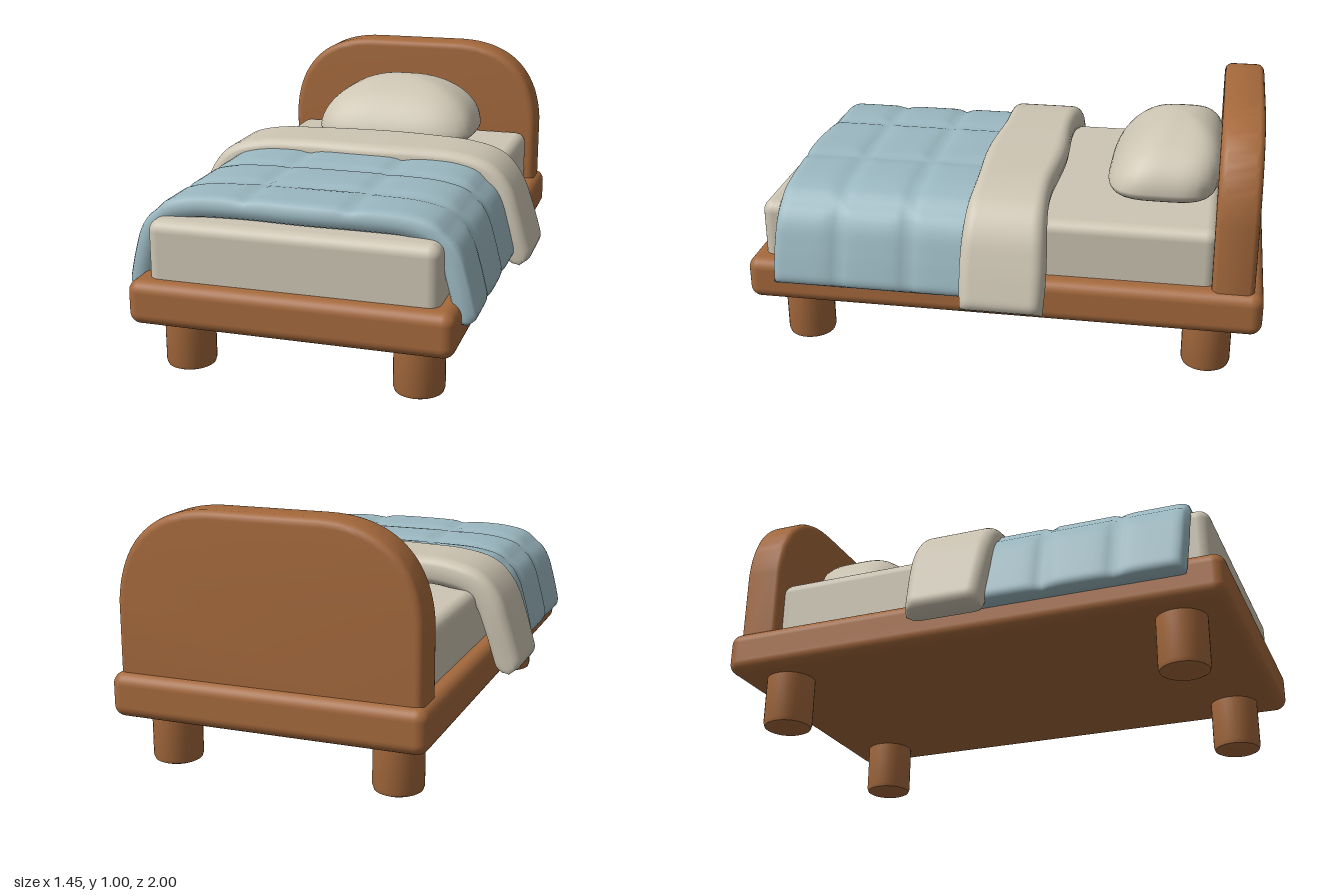
import * as THREE from 'three';
import { mergeVertices, toCreasedNormals } from 'three/addons/utils/BufferGeometryUtils.js';
import { RoundedBoxGeometry } from 'three/addons/geometries/RoundedBoxGeometry.js';

const wood = new THREE.MeshStandardMaterial({ name: 'wood', color: 0xa5693c });
const linen = new THREE.MeshStandardMaterial({ name: 'linen', color: 0xcdc5b3 });
const quiltBlue = new THREE.MeshStandardMaterial({ name: 'quilt blue', color: 0x9bb8c1 });

function add(group, name, geometry, material, x = 0, y = 0, z = 0) {
  const mesh = new THREE.Mesh(geometry, material);
  mesh.name = name;
  mesh.position.set(x, y, z);
  group.add(mesh);
}

// Padded cloth: a centre line in x/y (right half, mirrored) swept along z,
// thick in the middle and rounded off at every edge.
function drape(half, z0, z1, thickness, edgePower, puff) {
  const points = [
    ...half.slice(1).reverse().map(([x, y]) => new THREE.Vector3(-x, y, 0)),
    ...half.map(([x, y]) => new THREE.Vector3(x, y, 0)),
  ];
  const curve = new THREE.CatmullRomCurve3(points, false, 'centripetal');
  const length = curve.getLength();
  const nu = 90, nv = 44, row = nv + 1;
  const position = [], index = [];
  const edge = (d, r) => {
    const k = THREE.MathUtils.clamp(1 - d / r, 0, 1);
    return Math.pow(1 - Math.pow(k, edgePower), 1 / edgePower);
  };
  // samples crowd together towards both ends
  const spread = (t) => THREE.MathUtils.clamp(0.5 * t + 0.25 * (1 - Math.cos(Math.PI * t)), 0, 1);
  for (const side of [1, -1]) {
    const base = position.length / 3;
    for (let i = 0; i <= nu; i++) {
      const u = spread(i / nu);
      const p = curve.getPointAt(u), t = curve.getTangentAt(u);
      const s = (u - 0.5) * length;
      for (let j = 0; j <= nv; j++) {
        const v = spread(j / nv);
        const wave = 0.008 * Math.sin(s * 9 + 1) * (v - 0.5) * 2;
        const z = z0 + (z1 - z0) * v + wave;
        const round = edge(Math.min(u, 1 - u) * length, 0.05) * edge(Math.min(v, 1 - v) * (z1 - z0), 0.05);
        const h = side * (thickness / 2) * round - (side > 0 ? puff(s, z) * round : 0);
        position.push(p.x - t.y * h, p.y + t.x * h, z);
      }
    }
    for (let i = 0; i < nu; i++) {
      for (let j = 0; j < nv; j++) {
        const a = base + i * row + j, b = a + 1, c = a + row, d = c + 1;
        if (side > 0) index.push(a, b, c, b, d, c);
        else index.push(a, c, b, b, c, d);
      }
    }
  }
  let g = new THREE.BufferGeometry();
  g.setAttribute('position', new THREE.Float32BufferAttribute(position, 3));
  g.setIndex(index);
  g = mergeVertices(g, 1e-5);
  g.computeVertexNormals();
  return g;
}

// Stitched grooves of the quilt
function quiltSeams(s, z) {
  const groove = (d) => Math.exp(-Math.abs(d) / 0.025);
  let depth = 0;
  for (const line of [-0.53, -0.2, 0.2, 0.53]) depth = Math.max(depth, groove(s - line));
  for (const line of [0.34, 0.62]) depth = Math.max(depth, groove(z - line));
  return 0.016 * depth;
}

function pillowGeometry() {
  let g = new THREE.SphereGeometry(1, 48, 32);
  g.deleteAttribute('uv');
  g.deleteAttribute('normal');
  g = mergeVertices(g, 1e-5);
  const p = g.attributes.position;
  for (let i = 0; i < p.count; i++) {
    const x = p.getX(i), y = p.getY(i), z = p.getZ(i);
    const r = Math.hypot(x, z);
    // squarish plan, tall domed top leaning back, flatter underside
    const k = r < 1e-4 ? 1 : Math.pow((x / r) ** 4 + (z / r) ** 4, -0.25);
    p.setXYZ(i, x * k * 0.355, y * (y > 0 ? 0.22 : 0.09), z * k * 0.22 - 0.07 * Math.max(y, 0));
  }
  g.computeVertexNormals();
  return g;
}

function headboardGeometry() {
  const shape = new THREE.Shape();
  shape.moveTo(-0.555, 0.3);
  shape.lineTo(0.555, 0.3);
  shape.lineTo(0.555, 0.64);
  shape.bezierCurveTo(0.54, 0.85, 0.42, 0.965, 0.2, 0.967);
  shape.lineTo(-0.2, 0.967);
  shape.bezierCurveTo(-0.42, 0.965, -0.54, 0.85, -0.555, 0.64);
  const g = new THREE.ExtrudeGeometry(shape, {
    depth: 0.1, bevelThickness: 0.03, bevelSize: 0.03, bevelSegments: 5, curveSegments: 24,
  });
  return toCreasedNormals(g, 0.6);
}

function legGeometry() {
  const profile = [[0, 0], [0.08, 0], [0.09, 0.005], [0.095, 0.02], [0.095, 0.23]];
  const g = new THREE.LatheGeometry(profile.map(([x, y]) => new THREE.Vector2(x, y)), 32);
  return toCreasedNormals(g, 0.7);
}

export function createModel() {
  const bed = new THREE.Group();
  bed.name = 'bed';

  // Wooden frame
  add(bed, 'bedFrame', new RoundedBoxGeometry(1.22, 0.17, 2, 5, 0.045), wood, 0, 0.29, 0);
  add(bed, 'headboard', headboardGeometry(), wood, 0, 0, -0.935);
  const leg = legGeometry();
  for (const x of [-0.445, 0.445]) {
    for (const z of [-0.797, 0.803]) {
      add(bed, (z > 0 ? 'front' : 'back') + (x > 0 ? 'LeftLeg' : 'RightLeg'), leg, wood, x, 0, z);
    }
  }

  // Mattress and pillow
  add(bed, 'mattress', new RoundedBoxGeometry(1.09, 0.29, 1.765, 5, 0.045), linen, 0, 0.45, 0.063);
  add(bed, 'pillow', pillowGeometry(), linen, 0, 0.65, -0.59);

  // Quilt with its turned-down top
  const quiltLine = [[0, 0.638], [0.25, 0.636], [0.42, 0.626], [0.51, 0.598], [0.56, 0.535], [0.592, 0.44], [0.628, 0.295]];
  add(bed, 'quilt', drape(quiltLine, -0.08, 0.875, 0.085, 2.5, quiltSeams), quiltBlue);
  const foldLine = [[0, 0.663], [0.25, 0.66], [0.42, 0.65], [0.53, 0.618], [0.59, 0.55], [0.63, 0.45], [0.685, 0.27]];
  add(bed, 'quiltFold', drape(foldLine, -0.185, 0.13, 0.112, 2.2, () => 0), linen);

  return bed;
}
